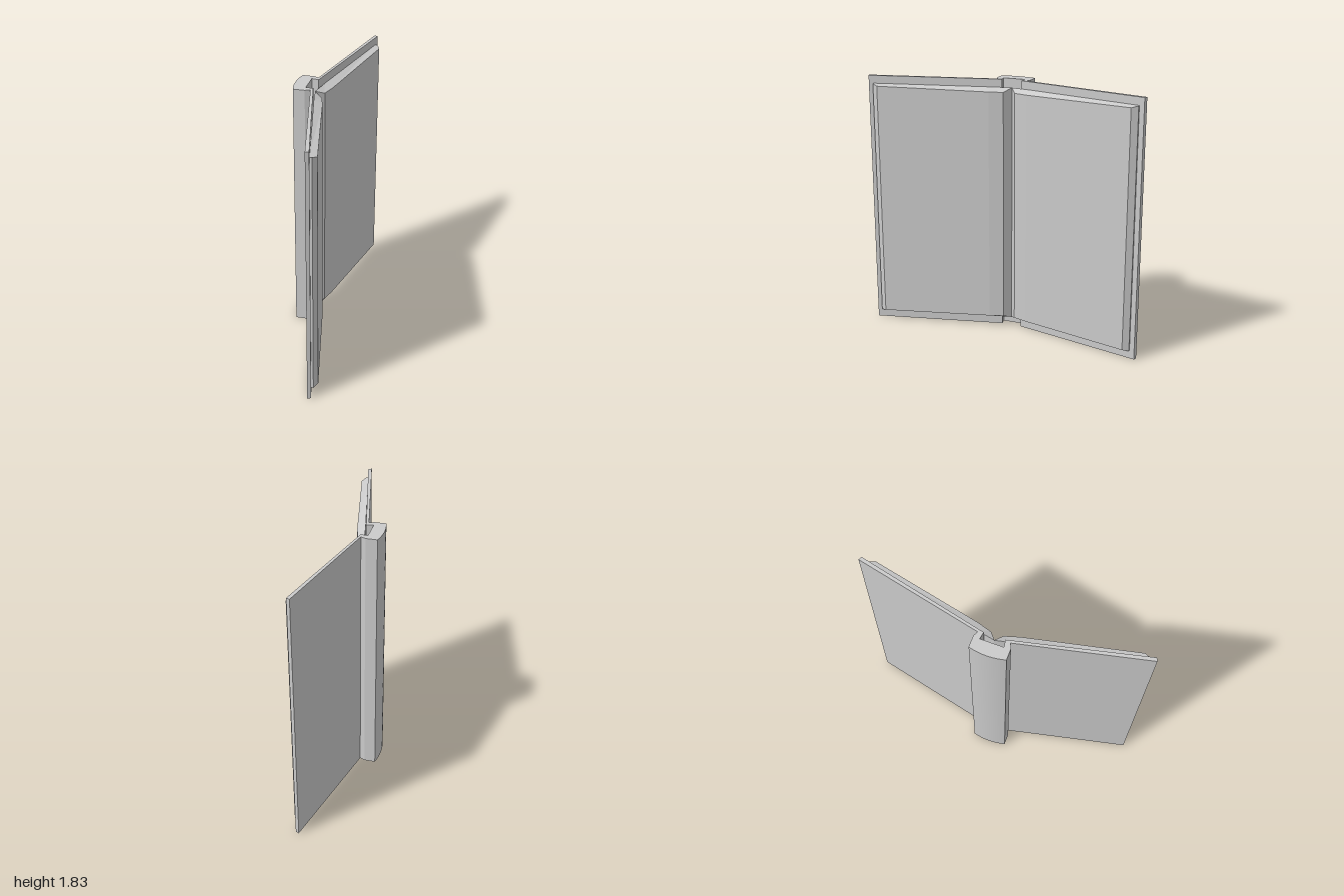
import * as THREE from 'three';
import { toCreasedNormals } from 'three/addons/utils/BufferGeometryUtils.js';

const HEIGHT = 1.83;
const material = new THREE.MeshStandardMaterial({ color: 0xcccccc });

// Extrudes an (x, z) outline upwards from y = 0
function extrudeUp(shape) {
  const geo = new THREE.ExtrudeGeometry(shape, { depth: HEIGHT, bevelEnabled: false, curveSegments: 8 });
  geo.rotateX(-Math.PI / 2);
  return toCreasedNormals(geo, 0.4);
}

// Rounded spine with the two splayed cover boards and the hollow behind the pages
function createBinding() {
  const half = [
    [-0.105, 0.08], [-0.055, 0.072], [0.16, 0.99], [0.136, 1.0],
    [-0.065, 0.11], [-0.1, 0.125], [-0.18, 0.125],
  ];
  const s = new THREE.Shape();
  half.forEach(([x, z], i) => (i ? s.lineTo(x, z) : s.moveTo(x, z)));
  s.quadraticCurveTo(-0.214, 0, -0.18, -0.125);
  [...half].reverse().slice(1).forEach(([x, z]) => s.lineTo(x, -z));
  s.closePath();
  const mesh = new THREE.Mesh(extrudeUp(s), material);
  mesh.name = 'binding';
  return mesh;
}

// One half of the page block, lofted from the centre fold to the outer edge
function createPages(side) {
  const bottom = 0.06, top = 1.775;
  // z, back x, front x, inset of the front edge at top and bottom
  const columns = [
    [0, -0.062, -0.06, 0],
    [0.042, -0.053, -0.005, 0.025],
    [0.14, -0.034, 0.025, 0.024],
    [0.912, 0.142, 0.19, 0.011],
    [0.955, 0.15, 0.167, 0],
  ];
  const rings = columns.map(([z, back, front, inset]) => [
    [back, bottom, z * side], [front, bottom + inset, z * side],
    [front, top - inset, z * side], [back, top, z * side],
  ]);
  const pos = [];
  const quad = (a, b, c, d) => {
    const corners = side > 0 ? [a, b, c, a, c, d] : [a, c, b, a, d, c];
    corners.forEach((p) => pos.push(...p));
  };
  for (let i = 0; i < rings.length - 1; i++) {
    for (let j = 0; j < 4; j++) {
      const k = (j + 1) % 4;
      quad(rings[i][j], rings[i][k], rings[i + 1][k], rings[i + 1][j]);
    }
  }
  quad(...rings[rings.length - 1]);
  quad(...[...rings[0]].reverse());
  const geo = new THREE.BufferGeometry();
  geo.setAttribute('position', new THREE.Float32BufferAttribute(pos, 3));
  geo.computeVertexNormals();
  const mesh = new THREE.Mesh(geo, material);
  mesh.name = side > 0 ? 'frontPages' : 'backPages';
  return mesh;
}

export function createModel() {
  const book = new THREE.Group();
  book.name = 'openBook';
  book.add(createBinding(), createPages(1), createPages(-1));
  return book;
}
